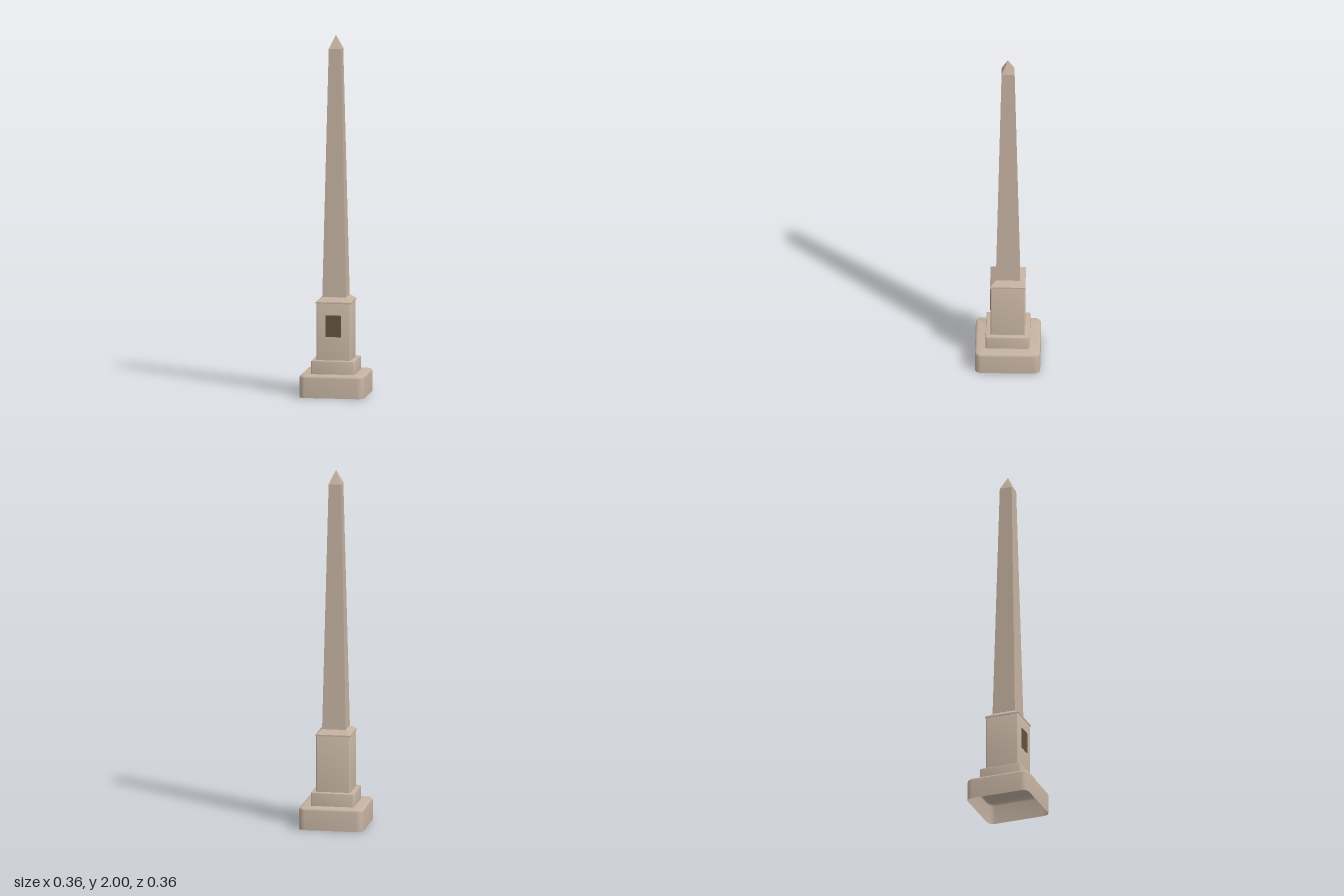
import * as THREE from 'three';
import { toCreasedNormals } from 'three/addons/utils/BufferGeometryUtils.js';

const stone = new THREE.MeshStandardMaterial({ color: 0xc4b2a1, side: THREE.DoubleSide });
stone.name = 'stone';
const bronze = new THREE.MeshStandardMaterial({ color: 0x64523f });
bronze.name = 'darkBronze';

// Rounded square outline at height y, counterclockwise seen from above
function ring(half, radius, y, steps = 5) {
  const points = [];
  for (let corner = 0; corner < 4; corner++) {
    const mid = Math.PI / 4 + corner * Math.PI / 2;
    const cx = Math.sign(Math.cos(mid)) * (half - radius);
    const cz = -Math.sign(Math.sin(mid)) * (half - radius);
    for (let i = 0; i <= steps; i++) {
      const a = corner * Math.PI / 2 + (i / steps) * Math.PI / 2;
      points.push([cx + radius * Math.cos(a), y, cz - radius * Math.sin(a)]);
    }
  }
  return points;
}

// Block with rounded corners and a rounded top edge, open underneath
function softBlock(name, half, radius, bevel, y0, y1) {
  const rings = [ring(half, radius, y0)];
  for (let i = 0; i <= 4; i++) {
    const a = (i / 4) * Math.PI / 2;
    const inset = bevel * (1 - Math.cos(a));
    rings.push(ring(half - inset, radius - inset, y1 - bevel + bevel * Math.sin(a)));
  }
  const positions = [];
  const triangle = (a, b, c) => positions.push(...a, ...b, ...c);
  const n = rings[0].length;
  for (let j = 0; j < n; j++) {
    const k = (j + 1) % n;
    for (let i = 0; i < rings.length - 1; i++) {
      const low = rings[i], high = rings[i + 1];
      triangle(low[j], low[k], high[k]);
      triangle(low[j], high[k], high[j]);
    }
    const top = rings[rings.length - 1];
    triangle([0, y1, 0], top[j], top[k]);
  }
  const geometry = new THREE.BufferGeometry();
  geometry.setAttribute('position', new THREE.Float32BufferAttribute(positions, 3));
  const mesh = new THREE.Mesh(toCreasedNormals(geometry, 0.6), stone);
  mesh.name = name;
  return mesh;
}

// Square tapered block with sharp edges
function taper(name, bottomHalf, topHalf, y0, y1, open = true) {
  const geometry = new THREE.CylinderGeometry(topHalf * Math.SQRT2, bottomHalf * Math.SQRT2, y1 - y0, 4, 1, open);
  geometry.rotateY(Math.PI / 4);
  geometry.translate(0, (y0 + y1) / 2, 0);
  const mesh = new THREE.Mesh(toCreasedNormals(geometry, 0.3), stone);
  mesh.name = name;
  return mesh;
}

export function createModel() {
  const group = new THREE.Group();
  group.name = 'obelisk';

  // Stepped foot and pedestal
  group.add(
    softBlock('base', 0.18, 0.036, 0.016, 0, 0.125),
    softBlock('step', 0.121, 0.01, 0.005, 0.125, 0.2),
    softBlock('pedestal', 0.095, 0.007, 0.003, 0.2, 0.518)
  );

  // Sloped pedestal cap with a thin overhanging edge
  group.add(
    taper('capEdge', 0.0975, 0.0975, 0.515, 0.523, false),
    taper('capSlope', 0.0975, 0.066, 0.523, 0.548)
  );

  // Tapered shaft and pointed tip
  group.add(
    taper('shaft', 0.066, 0.035, 0.548, 1.925),
    taper('tip', 0.035, 0, 1.925, 2)
  );

  // Plaque on the front of the pedestal
  const plaque = new THREE.Mesh(new THREE.BoxGeometry(0.084, 0.12, 0.004), bronze);
  plaque.name = 'plaque';
  plaque.position.set(0, 0.39, 0.0955);
  group.add(plaque);

  return group;
}
